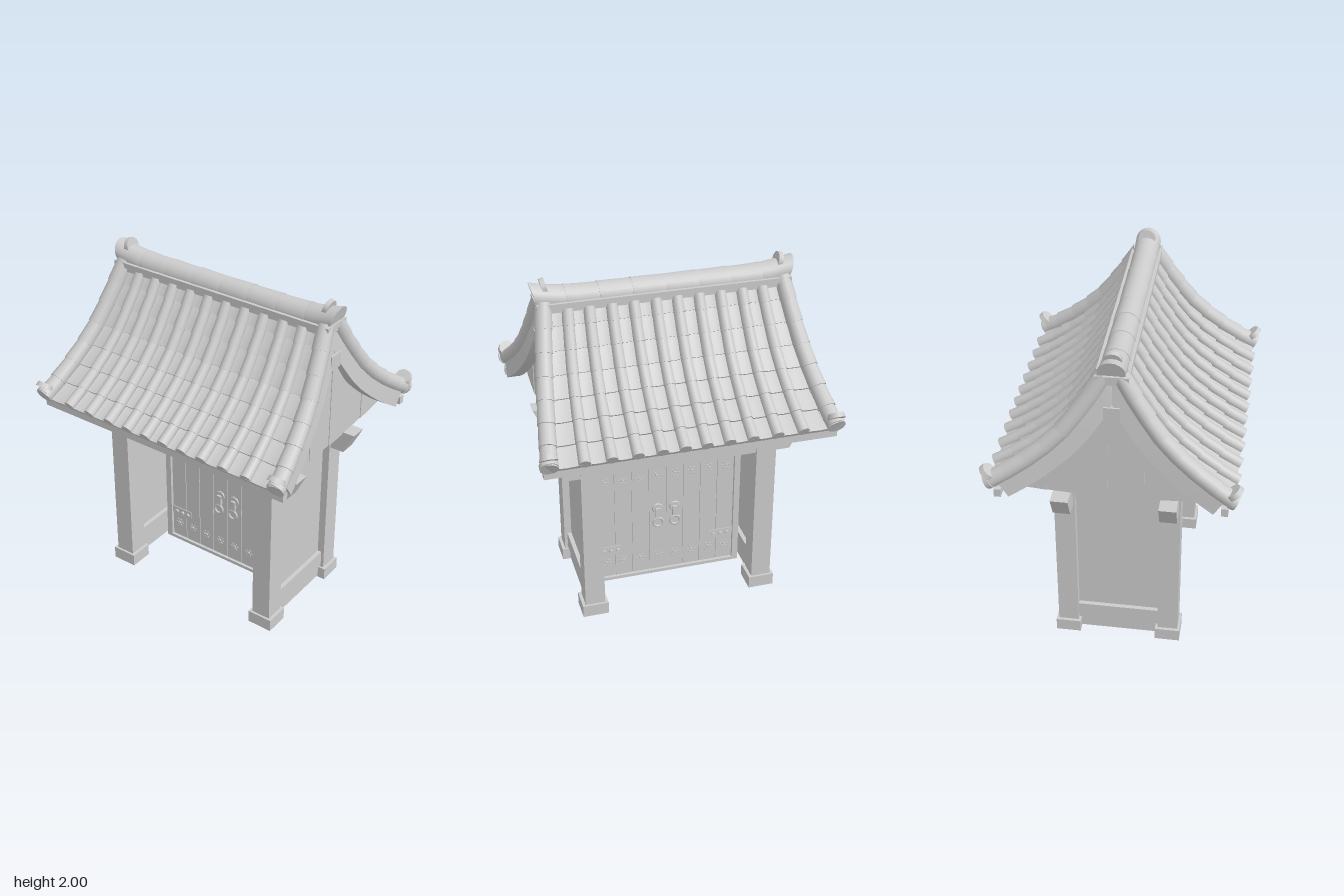
import * as THREE from 'three';
import { toCreasedNormals } from 'three/addons/utils/BufferGeometryUtils.js';

const MAT = new THREE.MeshStandardMaterial({ color: 0xcccccc, side: THREE.DoubleSide });
const V = (x, y, z) => new THREE.Vector3(x, y, z);

// Concave roof section (z, y) from ridge to eave
const SECTION = [[0.03, 1.87], [0.08, 1.78], [0.15, 1.67], [0.25, 1.53], [0.36, 1.42], [0.5, 1.31], [0.64, 1.22]];
const CURVE = new THREE.CatmullRomCurve3(SECTION.map(([z, y]) => V(0, y, z)));
const VERGE = 0.785;
const COVERS = [-0.6, -0.455, -0.315, -0.185, -0.06, 0.06, 0.185, 0.315, 0.455, 0.6];
const COURSES = 7;

// Point on the roof: x measured at the eave, u down the slope, off along the normal
function roofPoint(xe, u, off, flare = true) {
  const p = CURVE.getPointAt(u), t = CURVE.getTangentAt(u);
  const x = flare ? xe * (1 - 0.15 * Math.abs(xe / VERGE) ** 1.5 * (1 - u)) : xe;
  return V(x, p.y + t.z * off, p.z - t.y * off);
}

// Roof height at a given z
function roofHeight(z) {
  z = Math.abs(z);
  if (z <= SECTION[0][0]) return SECTION[0][1];
  const i = Math.max(1, SECTION.findIndex((p) => p[0] >= z));
  const [a, b] = [SECTION[i - 1], SECTION[i]];
  return a[1] + (b[1] - a[1]) * (z - a[0]) / (b[0] - a[0]);
}

function add(parent, name, geo) {
  const m = new THREE.Mesh(geo, MAT);
  m.name = name;
  parent.add(m);
  return m;
}

function group(parent, name) {
  const g = new THREE.Group();
  g.name = name;
  parent.add(g);
  return g;
}

// Box from its limits
function box(parent, name, x0, x1, y0, y1, z0, z1) {
  const m = add(parent, name, new THREE.BoxGeometry(x1 - x0, y1 - y0, z1 - z0));
  m.position.set((x0 + x1) / 2, (y0 + y1) / 2, (z0 + z1) / 2);
  return m;
}

// Tapered round bar from a to b
function rod(parent, name, a, b, ra, rb, sides = 12) {
  const m = add(parent, name, new THREE.CylinderGeometry(rb, ra, a.distanceTo(b), sides));
  m.position.copy(a).lerp(b, 0.5);
  m.quaternion.setFromUnitVectors(V(0, 1, 0), b.clone().sub(a).normalize());
  return m;
}

// Slab that follows the flared roof curve and stops at the ridge plane
function slab(parent, name, x0, x1, off0, off1, u1) {
  const g = new THREE.BoxGeometry(1, 1, 1, 10, 1, 18), p = g.attributes.position;
  for (let i = 0; i < p.count; i++) {
    const q = roofPoint(x0 + (x1 - x0) * (p.getX(i) + 0.5), u1 * (p.getZ(i) + 0.5), p.getY(i) > 0 ? off1 : off0);
    p.setXYZ(i, q.x, q.y, Math.max(0, q.z));
  }
  add(parent, name, toCreasedNormals(g, 0.6));
}

// One course of sagging pan tiles with a raised lower lip
function panCourse(parent, u0, u1) {
  const edges = [-VERGE, ...COVERS, VERGE], n = 4, gaps = edges.length - 1;
  const g = new THREE.PlaneGeometry(1, 1, gaps * n, 2), p = g.attributes.position;
  for (let i = 0; i < p.count; i++) {
    const col = i % (gaps * n + 1), row = Math.floor(i / (gaps * n + 1));
    const k = Math.min(Math.floor(col / n), gaps - 1), f = col / n - k;
    const lift = [0.002, 0.014, -0.006][row] - 0.014 * Math.sin(Math.PI * f);
    const q = roofPoint(edges[k] + (edges[k + 1] - edges[k]) * f, row ? u1 : u0, lift);
    p.setXYZ(i, q.x, q.y, q.z);
  }
  add(parent, 'panTiles', toCreasedNormals(g, 0.6));
}

function tileRow(parent, name, xe, r, off) {
  for (let i = 0; i < COURSES; i++) {
    const a = roofPoint(xe, i / COURSES, off), b = roofPoint(xe, Math.min(1, (i + 1.06) / COURSES), off + 0.004);
    rod(parent, name, a, b, r * 0.92, r);
  }
}

function roofSlope() {
  const s = new THREE.Group();
  s.name = 'roofSlope';
  slab(s, 'roofDeck', -0.78, 0.78, -0.06, -0.015, 0.99);
  for (let i = 0; i < COURSES; i++) panCourse(s, i / COURSES, (i + 1) / COURSES);
  for (const x of COVERS) tileRow(s, 'coverTile', x, 0.033, 0.008);
  box(s, 'eaveBoard', -0.81, 0.81, 1.15, 1.197, 0.575, 0.612);
  for (const d of [-1, 1]) {
    tileRow(s, 'vergeTile', d * VERGE, 0.049, 0.012);
    rod(s, 'vergeEndDisc', V(d * VERGE, 1.25, 0.625), V(d * VERGE, 1.238, 0.65), 0.051, 0.051, 16);
    const tongue = add(s, 'vergeEndTongue', new THREE.CylinderGeometry(0.044, 0.05, 0.028, 14));
    tongue.position.set(d * VERGE, 1.293, 0.637);
    tongue.rotation.x = -0.7;
    // Deep band closing the verge down to the gable
    slab(s, 'vergeBand', d * 0.775 - 0.04, d * 0.775 + 0.04, -0.112, 0, 0.94);
  }
  // Round rafters
  for (let k = -5; k <= 5; k++)
    for (let i = 0; i < 5; i++)
      rod(s, 'rafter', roofPoint(k * 0.122, 0.1 + i * 0.176, -0.085, false), roofPoint(k * 0.122, 0.1 + (i + 1) * 0.176, -0.085, false), 0.024, 0.024, 8);
  return s;
}

// Ridge with arched segments that sweep upward at both ends
function ridge(parent) {
  const g = group(parent, 'ridge'), len = 1.46 / 8;
  box(g, 'ridgeBase', -0.7, 0.7, 1.825, 1.855, -0.075, 0.075);
  box(g, 'ridgeBand', -0.71, 0.71, 1.85, 1.88, -0.087, 0.087);
  for (let i = 0; i < 8; i++) {
    const x0 = -0.73 + i * len, d = i < 4 ? -1 : 1;
    const geo = new THREE.CylinderGeometry(d > 0 ? 0.069 : 0.072, d > 0 ? 0.072 : 0.069, len, 20, 4);
    geo.rotateZ(Math.PI / 2).translate(x0 + len / 2, 1.873, 0);
    const p = geo.attributes.position;
    for (let j = 0; j < p.count; j++) {
      const x = p.getX(j), y = Math.max(1.855, p.getY(j)), e = Math.max(0, (Math.abs(x) - 0.45) / 0.28);
      p.setXYZ(j, x + Math.sign(x) * e * e * 0.3 * (y - 1.93), y + 0.033 * e * e, p.getZ(j));
    }
    add(g, 'ridgeTile', toCreasedNormals(geo, 0.7));
  }
  for (const d of [-1, 1]) {
    const horn = add(g, 'ridgeHorn', new THREE.CylinderGeometry(0.048, 0.048, 0.026, 14));
    horn.position.set(d * 0.655, 1.951, 0);
    horn.rotation.z = -Math.PI / 2 - d * 0.25;
  }
}

// Plank gable with an arched lower edge
function gable(parent, d) {
  const g = group(parent, 'gable'), cuts = [-0.57, -0.36, -0.165, -0.03, 0.03, 0.165, 0.36, 0.57];
  for (let i = 0; i < cuts.length - 1; i++) {
    const top = [], bottom = [];
    for (let k = 0; k <= 5; k++) {
      const z = cuts[i] + (cuts[i + 1] - cuts[i]) * k / 5;
      bottom.push(new THREE.Vector2(z, 1.105 + 0.035 * (z / 0.57) ** 2));
      top.unshift(new THREE.Vector2(z, roofHeight(z) - 0.08));
    }
    const geo = new THREE.ExtrudeGeometry(new THREE.Shape([...bottom, ...top]), { depth: i % 2 ? 0.051 : 0.055, bevelEnabled: false });
    add(g, 'gablePlank', geo.translate(0, 0, 0.625).rotateY(d * Math.PI / 2));
  }
}

// Lintel with slanted ends
function lintel(parent, z0, z1) {
  const s = new THREE.Shape([[-0.65, 0.94], [0.65, 0.94], [0.715, 1.07], [-0.715, 1.07]].map((p) => new THREE.Vector2(...p)));
  add(parent, 'lintel', new THREE.ExtrudeGeometry(s, { depth: z1 - z0, bevelEnabled: false }).translate(0, 0, z0));
}

// Studs, hinges and ring pulls on one face of the doors
function doorFittings(parent, z, dir) {
  const g = group(parent, 'doorFittings');
  const disc = (name, x, y, r, h, n) => rod(g, name, V(x, y, z - dir * 0.005), V(x, y, z + dir * h), r, r * 0.8, n);
  for (const d of [-1, 1]) {
    for (const y of [0.13, 0.7])
      for (let i = 0; i < 4; i++) {
        const x = d * (0.055 + i * 0.105);
        for (let k = 0; k < 6; k++) disc('flowerPetal', x + 0.021 * Math.cos(k * Math.PI / 3), y + 0.021 * Math.sin(k * Math.PI / 3), 0.01, 0.003, 8);
        disc('flowerStud', x, y, 0.012, 0.007, 10);
      }
    for (const y of [0.215, 0.795]) {
      const zs = [z - dir * 0.003, z + dir * 0.004].sort((a, b) => a - b);
      box(g, 'hingePlate', d * 0.348 - 0.072, d * 0.348 + 0.072, y - 0.03, y + 0.03, ...zs);
      for (const x of [0.3, 0.342, 0.385]) disc('hingeStud', d * x, y, 0.014, 0.014, 10);
    }
    disc('pullPlate', d * 0.052, 0.47, 0.038, 0.006, 8);
    const zs = [z, z + dir * 0.02].sort((a, b) => a - b);
    box(g, 'pullLoop', d * 0.052 - 0.014, d * 0.052 + 0.014, 0.41, 0.475, ...zs);
    add(g, 'pullRing', new THREE.TorusGeometry(0.029, 0.007, 8, 20)).position.set(d * 0.052, 0.38, z + dir * 0.016);
  }
}

function doors(parent) {
  const g = group(parent, 'doors'), z = -0.04;
  box(g, 'doorCore', -0.42, 0.42, 0.025, 0.88, z - 0.01, z + 0.01);
  for (let i = 0; i < 8; i++) {
    const x = -0.3675 + i * 0.105;
    box(g, 'doorPlank', x - 0.0505, x + 0.0505, 0.025, 0.88, z - 0.018, z + 0.018);
  }
  for (const d of [-1, 1]) {
    box(g, 'doorJamb', d * 0.437 - 0.018, d * 0.437 + 0.018, 0.01, 0.92, z - 0.035, z + 0.035);
    doorFittings(g, z + d * 0.018, d);
  }
  box(g, 'doorHead', -0.455, 0.455, 0.88, 0.915, z - 0.035, z + 0.035);
  box(g, 'doorHeadRail', -0.49, 0.49, 0.915, 0.945, z - 0.045, z + 0.045);
  box(g, 'threshold', -0.455, 0.455, 0.01, 0.03, z - 0.035, z + 0.035);
}

export function createModel() {
  const model = new THREE.Group();
  model.name = 'roofedGate';

  // Posts, side walls and gables
  const frame = group(model, 'frame');
  for (const d of [-1, 1]) {
    const x = d * 0.508;
    for (const e of [-1, 1]) {
      const z = e * 0.29;
      box(frame, 'post', x - 0.058, x + 0.058, 0.05, 1.37, z - 0.058, z + 0.058);
      box(frame, 'postBase', x - 0.076, x + 0.076, 0, 0.075, z - 0.071, z + 0.071);
    }
    box(frame, 'sidePanel', x - 0.015, x + 0.015, 0.08, 1.36, -0.24, 0.24);
    box(frame, 'sideSill', x - 0.04, x + 0.04, 0.085, 0.185, -0.24, 0.24);
    box(frame, 'sideFooting', x - 0.03, x + 0.03, 0.01, 0.085, -0.225, 0.225);
    box(frame, 'sideBeam', x - 0.035, x + 0.035, 0.95, 1.04, -0.24, 0.24);
    gable(frame, d);
  }
  // Lintels with struts and purlins above
  for (const e of [-1, 1]) {
    const z = e * 0.29;
    lintel(frame, z - 0.048, z + 0.048);
    for (const x of [-0.2, 0, 0.2]) box(frame, 'strut', x - 0.036, x + 0.036, 1.06, 1.34, z - 0.03, z + 0.03);
    box(frame, 'sidePurlin', -0.63, 0.63, 1.27, 1.36, z - 0.04, z + 0.04);
  }
  box(frame, 'ridgePurlin', -0.715, 0.715, 1.615, 1.7, -0.043, 0.043);
  doors(model);

  // Two matching roof slopes and the ridge
  const roof = group(model, 'roof');
  const front = roofSlope(), back = front.clone();
  back.rotation.y = Math.PI;
  roof.add(front, back);
  ridge(roof);
  return model;
}
